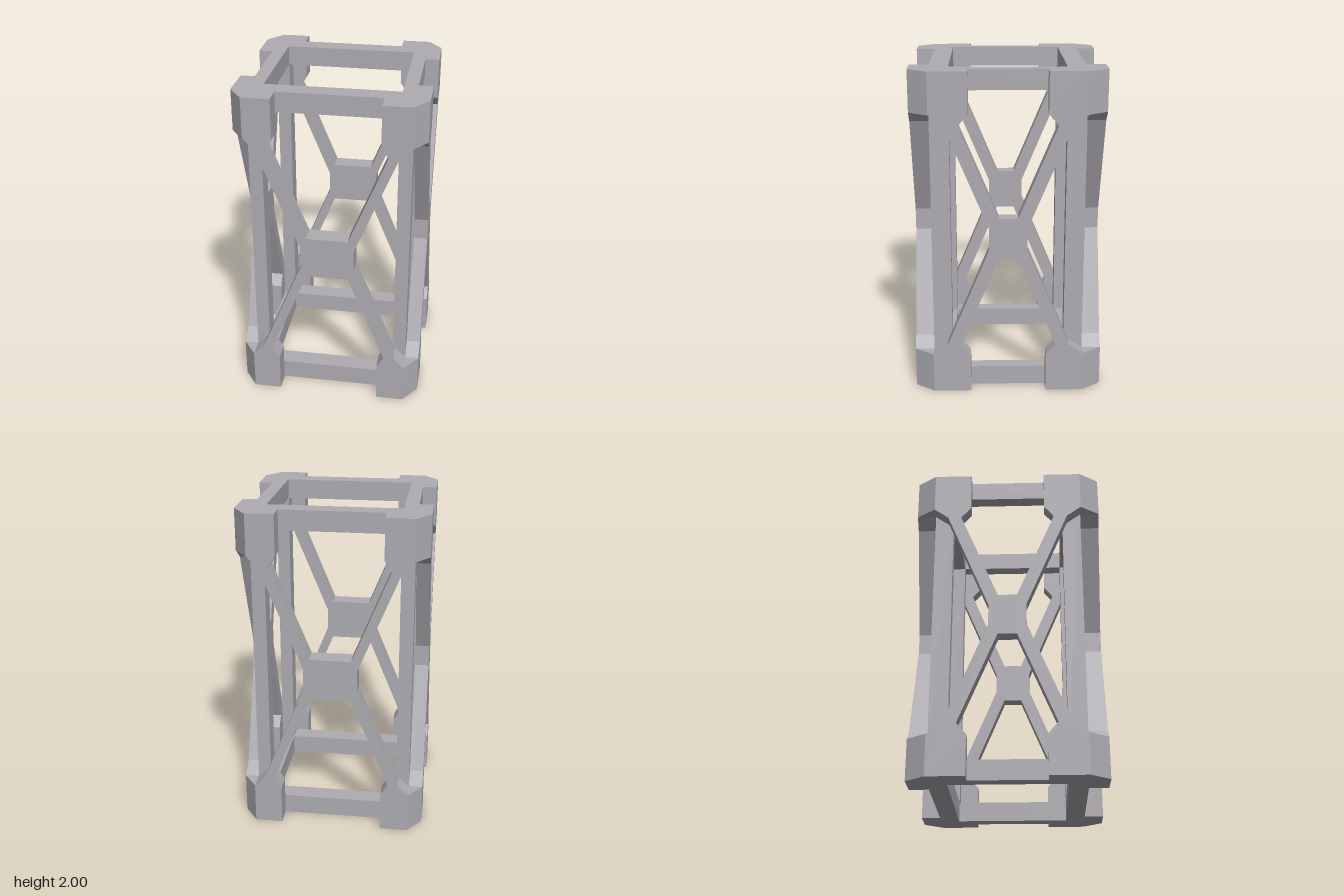
import * as THREE from 'three';

const HX = 0.481, HZ = 0.46;    // outer faces of posts and rails
const OX = 0.566, OZ = 0.577;   // outer faces of the brace panels
const IX = 0.4, IZ = 0.345;     // inner opening
const RAIL = 0.122, BLOCK = 0.25, H = 2;

const shapeOf = (pts) => new THREE.Shape(pts.map(([x, y]) => new THREE.Vector2(x, y)));
const extrude = (shape, depth) => new THREE.ExtrudeGeometry(shape, { depth, bevelEnabled: false });

// X-shaped panel centred on the origin: one quadrant, mirrored twice
function bracePanel(quadrant, depth) {
  const right = [...quadrant, ...quadrant.map(([x, y]) => [x, -y]).reverse()];
  const left = right.map(([x, y]) => [-x, y]).reverse();
  return extrude(shapeOf([...right, ...left]), depth);
}

// Quadrant outline: hub top, strut inner edge, corner block, strut outer edge, hub side
const quadrant = (hubTop, strutIn, blockIn, edge, strutOut, hubSide) => [
  [hubTop, 0.13], [strutIn, 0.687], [blockIn, 0.755], [blockIn, 1],
  [edge, 1], [edge, 1 - BLOCK], [strutOut, 0.687], [hubSide, 0.066],
];

export function createModel() {
  const model = new THREE.Group();
  model.name = 'trussTower';
  const grey = new THREE.MeshStandardMaterial({ name: 'frame grey', color: 0xaeacb2 });
  const add = (name, geometry, x = 0, y = 0, z = 0, ry = 0) => {
    const mesh = new THREE.Mesh(geometry, grey);
    mesh.name = name;
    mesh.position.set(x, y, z);
    mesh.rotation.y = ry;
    model.add(mesh);
  };

  // Rail frames at the bottom and top
  const ring = shapeOf([[-HX, -HZ], [HX, -HZ], [HX, HZ], [-HX, HZ]]);
  ring.holes.push(new THREE.Path([[-IX, -IZ], [-IX, IZ], [IX, IZ], [IX, -IZ]]
    .map(([x, y]) => new THREE.Vector2(x, y))));
  const ringGeometry = extrude(ring, RAIL).rotateX(-Math.PI / 2);
  add('bottomRails', ringGeometry);
  add('topRails', ringGeometry, 0, H - RAIL);

  // Corner posts and the chamfered corner fillers
  const post = new THREE.BoxGeometry(HX - IX, H - 2 * RAIL, HZ - IZ);
  for (const sx of [-1, 1]) for (const sz of [-1, 1]) {
    add('cornerPost', post, sx * (HX + IX) / 2, H / 2, sz * (HZ + IZ) / 2);
    const wedge = extrude(shapeOf([
      [sx * HX, -sz * HZ], [sx * OX, -sz * HZ], [sx * HX, -sz * OZ],
    ]), BLOCK).rotateX(-Math.PI / 2);
    add('bottomCornerBlock', wedge);
    add('topCornerBlock', wedge, 0, H - BLOCK);
  }

  // Cross-braced panels on the four sides
  const wide = bracePanel(quadrant(0.126, 0.354, 0.312, HX, 0.415, 0.161), OZ - HZ);
  const narrow = bracePanel(quadrant(0.058, 0.29, 0.231, HZ, 0.372, 0.114), OX - HX);
  add('frontBrace', wide, 0, 1, HZ);
  add('backBrace', wide, 0, 1, -HZ, Math.PI);
  add('leftBrace', narrow, HX, 1, 0, Math.PI / 2);
  add('rightBrace', narrow, -HX, 1, 0, -Math.PI / 2);

  return model;
}
